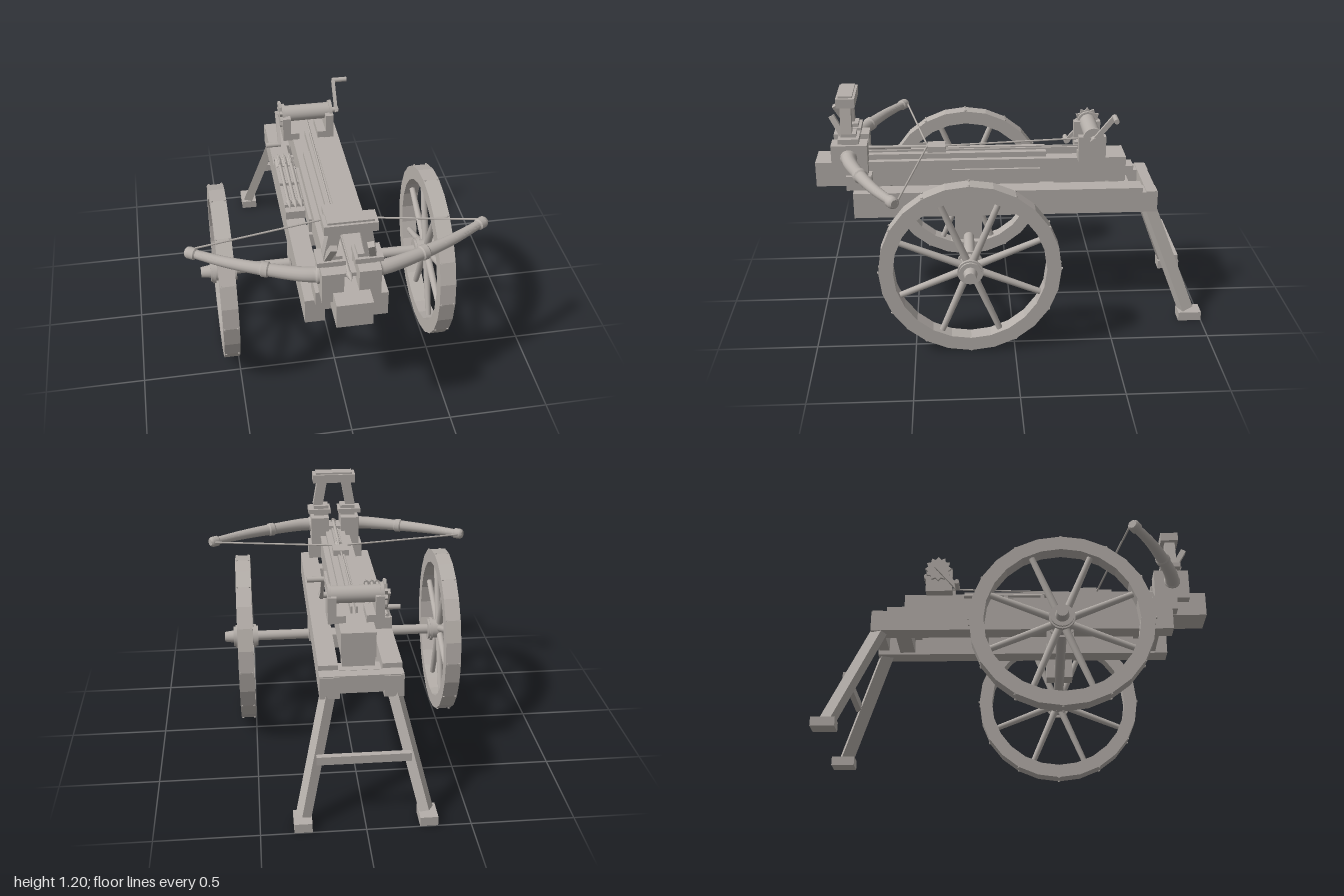
import * as THREE from 'three';
import { toCreasedNormals } from 'three/addons/utils/BufferGeometryUtils.js';

const wood = new THREE.MeshStandardMaterial({ color: 0xb5afaa });
wood.name = 'weathered wood';

export function createModel() {
  const root = new THREE.Group();
  root.name = 'fieldBallista';

  const add = (name, geo, parent = root) => {
    const m = new THREE.Mesh(geo, wood);
    m.name = name;
    parent.add(m);
    return m;
  };
  // Box given by its extents on each axis
  const box = (name, x0, x1, y0, y1, z0, z1, parent = root) => {
    const m = add(name, new THREE.BoxGeometry(x1 - x0, y1 - y0, z1 - z0), parent);
    m.position.set((x0 + x1) / 2, (y0 + y1) / 2, (z0 + z1) / 2);
    return m;
  };
  // The same box on both sides
  const pair = (name, x0, x1, ...r) => {
    box(name + 'Left', x0, x1, ...r);
    box(name + 'Right', -x1, -x0, ...r);
  };
  const between = (m, a, b) => {
    const A = new THREE.Vector3(...a), B = new THREE.Vector3(...b);
    m.position.copy(A).add(B).multiplyScalar(0.5);
    m.quaternion.setFromUnitVectors(new THREE.Vector3(0, 1, 0), B.clone().sub(A).normalize());
    return m;
  };
  const dist = (a, b) => Math.hypot(a[0] - b[0], a[1] - b[1], a[2] - b[2]);
  const rod = (name, a, b, r0, r1 = r0, sides = 16, parent = root) =>
    between(add(name, new THREE.CylinderGeometry(r1, r0, dist(a, b), sides), parent), a, b);
  const beam = (name, a, b, w, d, parent = root) =>
    between(add(name, new THREE.BoxGeometry(w, dist(a, b), d), parent), a, b);

  // Carriage rails, cross beams and axle brackets
  pair('rail', 0.105, 0.2, 0.575, 0.71, -0.68, 0.805);
  pair('railEnd', 0.105, 0.2, 0.575, 0.685, -0.76, -0.68);
  box('rearBeam', -0.2, 0.2, 0.6, 0.69, -0.755, -0.7);
  for (const z of [0.7, 0.22, -0.2, -0.6]) box('crossBeam', -0.11, 0.11, 0.585, 0.66, z - 0.04, z + 0.04);
  for (const z of [0.66, -0.56]) box('stockRest', -0.08, 0.08, 0.65, 0.71, z - 0.04, z + 0.04);
  pair('axleBracket', 0.117, 0.195, 0.44, 0.58, 0.15, 0.29);

  // Stock with its slider track
  box('stock', -0.085, 0.085, 0.708, 0.838, -0.605, 1.0);
  pair('stockCheek', 0.08, 0.1, 0.71, 0.79, -0.155, 0.3);
  pair('track', 0.022, 0.055, 0.83, 0.866, -0.19, 0.75);
  pair('trackGuide', 0.008, 0.018, 0.83, 0.874, -0.38, 0.8);
  box('slider', -0.043, 0.043, 0.866, 0.897, 0.33, 0.425);
  box('sliderPeg', -0.012, 0.012, 0.67, 0.71, 0.5, 0.54);

  // Axle and spoked wheels
  const AY = 0.452, AZ = 0.22;
  rod('axle', [-0.5, AY, AZ], [0.5, AY, AZ], 0.027, 0.027, 24);
  const loop = [[0.377, -0.04], [0.448, -0.04], [0.448, 0.04], [0.377, 0.04], [0.377, -0.04]]
    .map(p => new THREE.Vector2(...p));
  const rimGeo = toCreasedNormals(new THREE.LatheGeometry(loop, 24), 0.1);
  for (const s of [1, -1]) {
    const wheel = new THREE.Group();
    wheel.name = s > 0 ? 'wheelLeft' : 'wheelRight';
    wheel.position.set(s * 0.54, AY, AZ);
    add('rim', rimGeo, wheel).rotation.z = Math.PI / 2;
    rod('hub', [-0.06, 0, 0], [0.06, 0, 0], 0.052, 0.052, 24, wheel);
    for (const f of [-1, 1]) {
      rod('hubFlange', [f * 0.042, 0, 0], [f * 0.056, 0, 0], 0.064, 0.064, 24, wheel);
      rod('hubRing', [f * 0.056, 0, 0], [f * 0.067, 0, 0], 0.056, 0.056, 24, wheel);
    }
    rod('axleCap', [s * 0.06, 0, 0], [s * 0.115, 0, 0], 0.035, 0.027, 24, wheel);
    for (let i = 0; i < 8; i++) {
      const a = (i + 0.5) * Math.PI / 4, c = Math.cos(a), n = Math.sin(a);
      rod('spoke', [0, n * 0.04, c * 0.04], [0, n * 0.385, c * 0.385], 0.019, 0.015, 12, wheel);
    }
    for (let i = 0; i < 12; i++) {
      const a = i * Math.PI / 6, c = Math.cos(a), n = Math.sin(a);
      for (const x of [-0.032, 0.032])
        rod('rimNail', [x, n * 0.44, c * 0.44], [x, n * 0.453, c * 0.453], 0.006, 0.006, 6, wheel);
    }
    root.add(wheel);
  }

  // Splayed rear legs
  for (const s of [1, -1]) {
    const name = s > 0 ? 'Left' : 'Right';
    beam('rearLeg' + name, [s * 0.155, 0.6, -0.715], [s * 0.293, 0.045, -0.925], 0.065, 0.05);
    box('foot' + name, s * 0.298 - 0.043, s * 0.298 + 0.043, 0, 0.047, -1.0, -0.88);
  }
  box('legBar', -0.225, 0.225, 0.29, 0.332, -0.88, -0.85);

  // Bow frame
  pair('frameBlock', 0.035, 0.137, 0.785, 0.947, 0.727, 0.91);
  pair('frameFoot', 0.08, 0.155, 0.71, 0.787, 0.71, 0.84);
  pair('framePlate', 0.022, 0.152, 0.962, 0.987, 0.765, 0.87);
  pair('frameNeck', 0.035, 0.12, 0.94, 1.005, 0.78, 0.855);
  for (const s of [1, -1]) {
    beam('framePost', [s * 0.095, 1.0, 0.828], [s * 0.068, 1.15, 0.828], 0.055, 0.055);
    beam('frameBrace', [s * 0.105, 0.985, 0.842], [s * 0.083, 1.092, 0.9], 0.03, 0.028);
  }
  box('frameCap', -0.122, 0.122, 1.143, 1.19, 0.778, 0.872);
  box('frameCapTop', -0.105, 0.105, 1.185, 1.2, 0.79, 0.86);
  box('boltRest', -0.04, 0.04, 0.865, 0.885, 0.76, 0.84);

  // Curved bow arms: a tube whose radius follows [position, radius] steps
  const taper = [[0, 0.043], [0.05, 0.043], [0.051, 0.037], [0.38, 0.031], [0.381, 0.037], [0.43, 0.037],
    [0.431, 0.031], [0.92, 0.022], [0.921, 0.029], [0.985, 0.029], [1, 0.02]];
  const radius = t => {
    const i = Math.max(1, taper.findIndex(p => p[0] >= t - 1e-6));
    const [a, b] = [taper[i - 1], taper[i]];
    return THREE.MathUtils.lerp(a[1], b[1], (t - a[0]) / (b[0] - a[0]));
  };
  for (const s of [1, -1]) {
    const path = new THREE.CatmullRomCurve3([[0.11, 0.825], [0.2, 0.81], [0.36, 0.752], [0.54, 0.67], [0.722, 0.562]]
      .map(([x, z]) => new THREE.Vector3(s * x, 0.882, z)));
    const n = 100, sides = 16, geo = new THREE.TubeGeometry(path, n, 1, sides, false);
    const pos = geo.attributes.position, v = new THREE.Vector3();
    for (let i = 0; i <= n; i++) {
      const c = path.getPointAt(i / n);
      for (let j = 0; j <= sides; j++) {
        const k = i * (sides + 1) + j;
        v.fromBufferAttribute(pos, k).sub(c).multiplyScalar(radius(i / n)).add(c);
        pos.setXYZ(k, v.x, v.y, v.z);
      }
    }
    add(s > 0 ? 'bowArmLeft' : 'bowArmRight', toCreasedNormals(geo, 0.7));
    const tip = [s * 0.722, 0.882, 0.562];
    rod('bowTip', [s * 0.712, 0.882, 0.568], tip, 0.02, 0.02);
    rod('bowString', [s * 0.715, 0.885, 0.555], [0, 0.89, 0.425], 0.005, 0.005, 8);
  }

  // Winch: supports, drum, rope, ratchet and two cranks
  const WY = 0.962, WZ = -0.425;
  pair('winchSupport', 0.095, 0.138, 0.835, 0.97, -0.49, -0.35);
  pair('winchSupportBase', 0.05, 0.1, 0.835, 0.875, -0.49, -0.35);
  rod('winchDrum', [-0.12, WY, WZ], [0.12, WY, WZ], 0.043, 0.043, 24);
  for (const x of [-0.128, 0.128]) rod('drumFlange', [x - 0.008, WY, WZ], [x + 0.008, WY, WZ], 0.054, 0.054, 24);
  rod('winchShaft', [-0.165, WY, WZ], [0.175, WY, WZ], 0.014);
  rod('winchRope', [0, 0.888, 0.34], [0, 0.917, WZ], 0.005, 0.005, 8);
  const ratchet = new THREE.Shape();
  for (let i = 0; i < 24; i++) {
    const a = i * Math.PI / 12, r = i % 2 ? 0.056 : 0.071;
    ratchet[i ? 'lineTo' : 'moveTo'](r * Math.cos(a), r * Math.sin(a));
  }
  const gear = add('ratchetWheel', new THREE.ExtrudeGeometry(ratchet, { depth: 0.013, bevelEnabled: false }));
  gear.rotation.y = Math.PI / 2;
  gear.position.set(-0.151, WY, WZ);
  for (const [s, y, z] of [[1, 1.086, -0.525], [-1, 0.838, -0.318]]) {
    beam('crankArm', [s * 0.163, WY - (y - WY) * 0.1, WZ - (z - WZ) * 0.1], [s * 0.163, y, z], 0.016, 0.026);
    rod('crankHandle', [s * 0.157, y, z], [s * 0.237, y, z], 0.013);
  }

  // Bolt tray on the right rail with three spare bolts, and one bolt on the track
  box('boltTray', -0.2, -0.095, 0.71, 0.755, -0.3, 0.18);
  for (const z of [-0.29, -0.06, 0.13]) box('trayRib', -0.2, -0.095, 0.75, 0.772, z - 0.01, z + 0.01);
  const bolt = (x, y, z0, z1) => {
    rod('boltShaft', [x, y, z0], [x, y, z1], 0.009, 0.009, 10);
    rod('boltHead', [x, y, z1], [x, y, z1 + 0.05], 0.017, 0.001, 8);
    for (const a of [0, 1, 2].map(i => Math.PI / 2 + i * Math.PI * 2 / 3)) {
      const fin = box('boltFin', -0.002, 0.002, 0.006, 0.022, -0.04, 0.04);
      fin.rotation.z = a - Math.PI / 2;
      fin.position.set(x - 0.014 * Math.sin(a - Math.PI / 2), y + 0.014 * Math.cos(a - Math.PI / 2), z0 + 0.05);
    }
  };
  for (const x of [-0.178, -0.148, -0.118]) bolt(x, 0.78, -0.29, 0.13);
  bolt(0, 0.886, 0.42, 0.85);

  return root;
}
